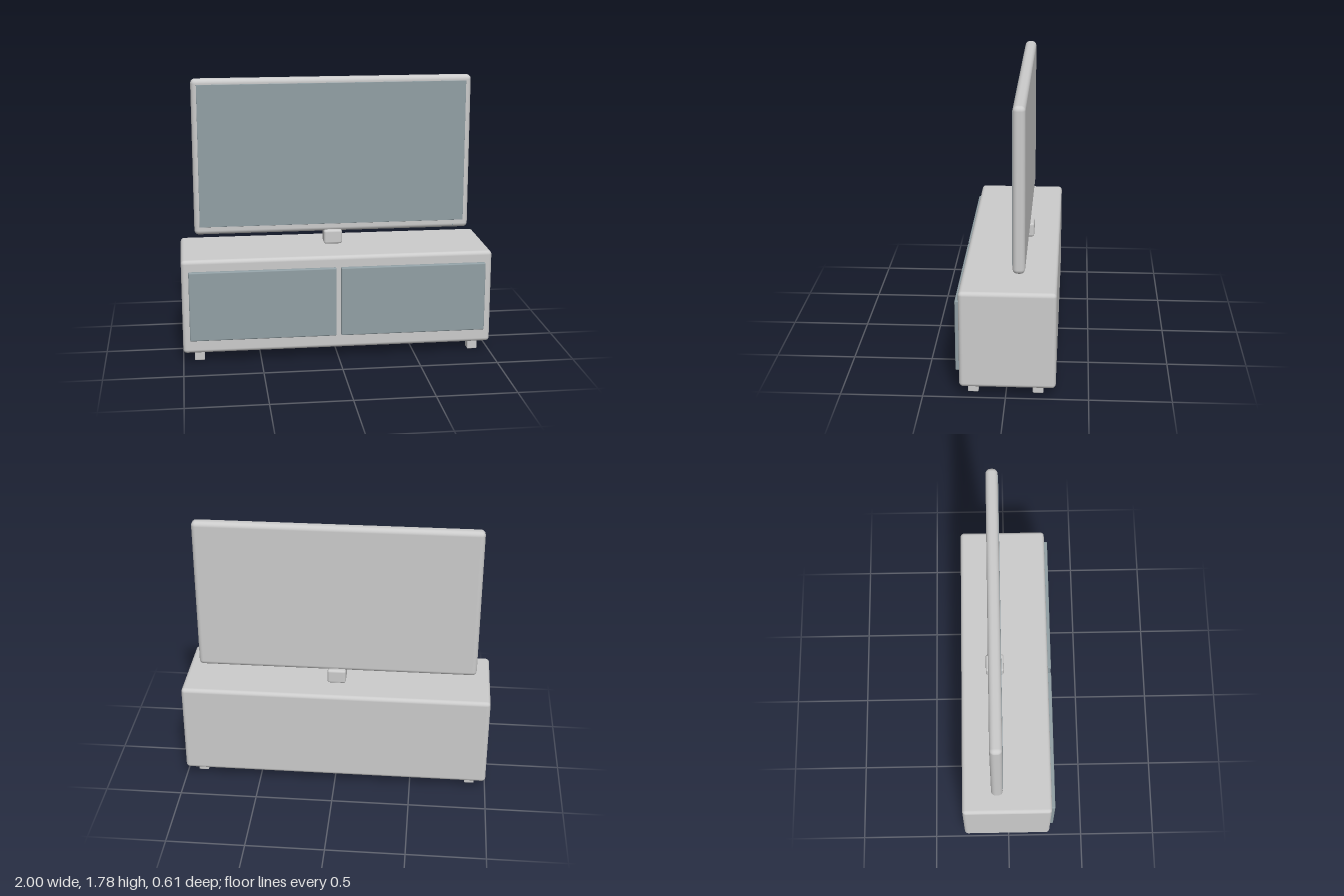
import * as THREE from 'three';
import { RoundedBoxGeometry } from 'three/addons/geometries/RoundedBoxGeometry.js';

export function createModel() {
  const group = new THREE.Group();
  const grey = new THREE.MeshStandardMaterial({ color: 0xcccccc });
  const dark = new THREE.MeshStandardMaterial({ color: 0x919fa4 });

  // Rounded box given by its [min, max] extent on each axis
  function block(name, [x0, x1], [y0, y1], [z0, z1], radius, material = grey) {
    const geometry = new RoundedBoxGeometry(x1 - x0, y1 - y0, z1 - z0, 4, radius);
    const mesh = new THREE.Mesh(geometry, material);
    mesh.name = name;
    mesh.position.set((x0 + x1) / 2, (y0 + y1) / 2, (z0 + z1) / 2);
    group.add(mesh);
  }

  // Low cabinet
  block('cabinet', [-1, 1], [0.065, 0.682], [-0.302, 0.28], 0.025);

  // Doors and feet, mirrored left and right
  for (const [side, s] of [['left', 1], ['right', -1]]) {
    const span = (a, b) => (s > 0 ? [a, b] : [-b, -a]);
    block(side + 'Door', span(0.015, 0.955), [0.155, 0.61], [0.262, 0.304], 0.008, dark);
    block(side + 'FrontFoot', span(0.863, 0.928), [0, 0.08], [0.167, 0.232], 0.006);
    block(side + 'BackFoot', span(0.863, 0.928), [0, 0.08], [-0.227, -0.162], 0.006);
  }

  // Television: stand, housing, screen panel and a tiny power light
  block('stand', [-0.06, 0.06], [0.68, 0.775], [-0.136, -0.016], 0.015);
  block('televisionHousing', [-0.907, 0.907], [0.762, 1.783], [-0.112, -0.037], 0.03);
  block('screen', [-0.872, 0.872], [0.815, 1.747], [-0.055, -0.034], 0.002, dark);
  block('powerLight', [0.8, 0.808], [0.781, 0.789], [-0.05, -0.03], 0.002, dark);

  return group;
}
